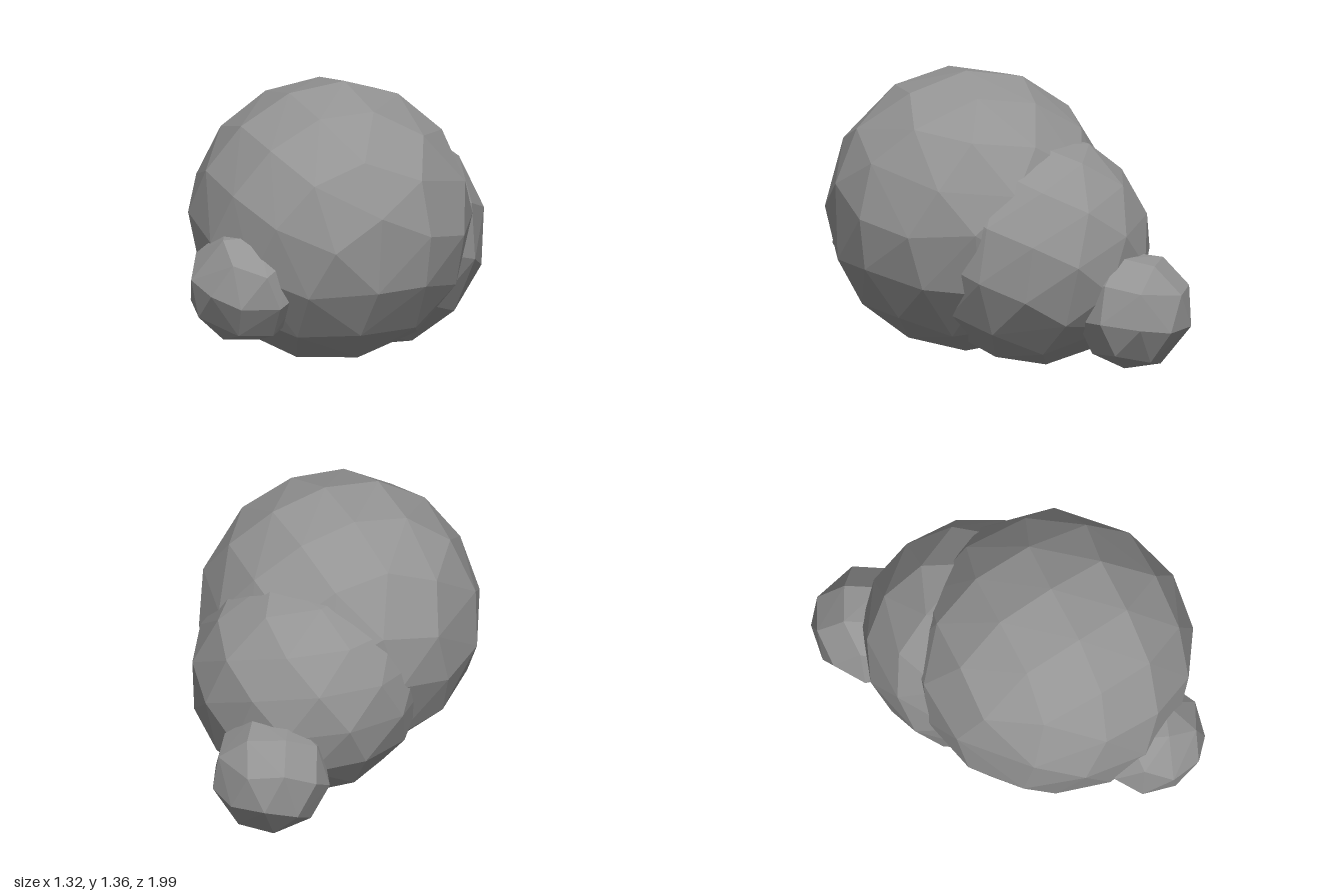
import * as THREE from 'three';
import { ConvexGeometry } from 'three/addons/geometries/ConvexGeometry.js';

// Irregular faceted ball: hull of evenly spiralled points, first point turned towards dir
function facetedBall(radius, count, dir) {
  const points = [];
  for (let i = 0; i < count; i++) {
    const polar = Math.acos(1 - (2 * i + 1) / count);
    points.push(new THREE.Vector3().setFromSphericalCoords(radius, polar, i * Math.PI * (3 - Math.sqrt(5))));
  }
  const turn = new THREE.Quaternion().setFromUnitVectors(
    points[0].clone().normalize(), new THREE.Vector3(...dir).normalize());
  return new ConvexGeometry(points.map((p) => p.applyQuaternion(turn)));
}

export function createModel() {
  const group = new THREE.Group();
  const material = new THREE.MeshStandardMaterial({ color: 0x949494, flatShading: true });

  // Overlapping boulders: a large body, a sloping rear and a knob at each end
  const lumps = [
    { name: 'mainBoulder', radius: 0.675, count: 70, at: [0, 0.693, 0.165], dir: [0.67, 0.035, 0.1] },
    { name: 'rearBoulder', radius: 0.555, count: 60, at: [-0.05, 0.545, -0.205], dir: [0.08, -1, -0.2] },
    { name: 'frontKnob', radius: 0.28, count: 30, at: [-0.08, 0.475, 0.72], dir: [0.01, 0, 1] },
    { name: 'backKnob', radius: 0.285, count: 30, at: [-0.17, 0.295, -0.72], dir: [0.05, -0.07, -0.28] },
  ];
  for (const { name, radius, count, at, dir } of lumps) {
    const mesh = new THREE.Mesh(facetedBall(radius, count, dir), material);
    mesh.name = name;
    mesh.position.set(...at);
    group.add(mesh);
  }
  return group;
}
